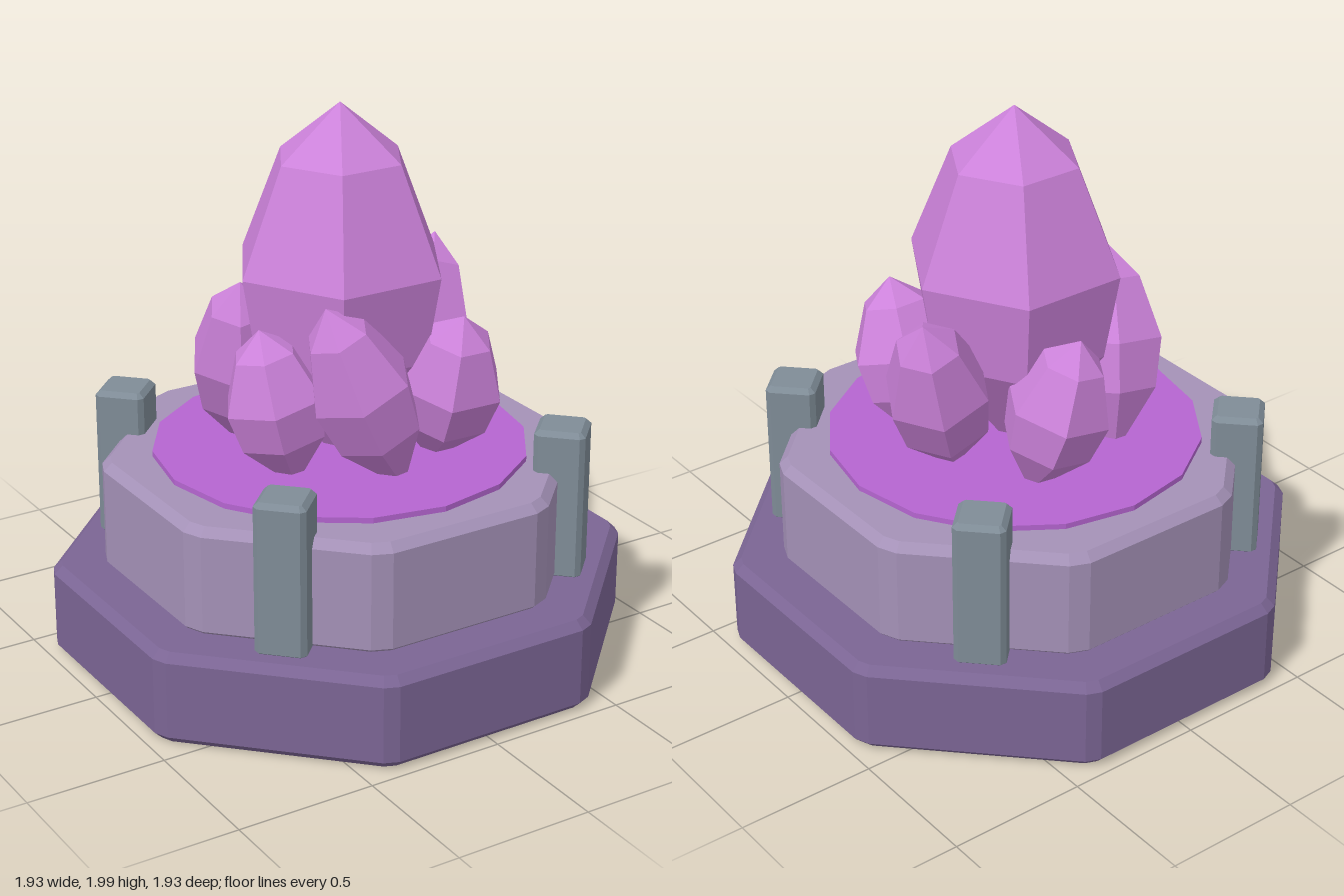
import * as THREE from 'three';

const mat = (name, color) => {
  const m = new THREE.MeshStandardMaterial({ color });
  m.name = name;
  return m;
};

// Regular polygon (half width = apothem) with each corner clipped
function clippedPolygon(sides, apothem, cut) {
  const corner = (i) => {
    const a = ((i + 0.5) / sides) * Math.PI * 2;
    return new THREE.Vector2(Math.cos(a), Math.sin(a)).multiplyScalar(apothem / Math.cos(Math.PI / sides));
  };
  const pts = [];
  for (let i = 0; i < sides; i++) {
    const c = corner(i);
    for (const n of [corner(i - 1), corner(i + 1)]) {
      pts.push(c.clone().add(n.sub(c).setLength(cut)));
    }
  }
  return new THREE.Shape(pts);
}

// Upright prism standing on y = 0 with chamfered edges
function chamferedPrism(sides, apothem, height, cut, bevel) {
  const g = new THREE.ExtrudeGeometry(clippedPolygon(sides, apothem, cut), {
    depth: height - 2 * bevel,
    bevelEnabled: true,
    bevelSegments: 1,
    bevelSize: bevel,
    bevelThickness: bevel,
    bevelOffset: -bevel,
  });
  return g.translate(0, 0, bevel).rotateX(-Math.PI / 2);
}

// Faceted six-sided crystal growing up from the origin
function crystalGeometry(radius, length) {
  const profile = [[0, 0], [0.12, 0], [0.86, 0.3], [1, 0.55], [0.6, 0.85], [0, 1]]
    .map(([r, t]) => new THREE.Vector2(r * radius, t * length));
  const g = new THREE.LatheGeometry(profile, 6, Math.PI / 2).toNonIndexed();
  g.computeVertexNormals();
  return g;
}

export function createModel() {
  const model = new THREE.Group();
  model.name = 'crystalPedestal';
  const darkStone = mat('dark purple stone', 0x7b6594);
  const paleStone = mat('pale purple stone', 0xa491b7);
  const glow = mat('violet pool', 0xb565d0);
  const crystal = mat('pink crystal', 0xcc82da);
  const metal = mat('grey metal', 0x7f8c97);

  const add = (name, geometry, material, x = 0, y = 0, z = 0) => {
    const mesh = new THREE.Mesh(geometry, material);
    mesh.name = name;
    mesh.position.set(x, y, z);
    model.add(mesh);
    return mesh;
  };

  // Stepped octagonal pedestal with a sixteen-sided inlay
  add('lowerBase', chamferedPrism(8, 0.965, 0.34, 0.03, 0.03), darkStone, 0, 0.01, 0);
  add('upperBase', chamferedPrism(8, 0.795, 0.41, 0.04, 0.03), paleStone, 0, 0.33, 0);
  const disc = new THREE.CylinderGeometry(0.67, 0.67, 0.05, 16).toNonIndexed();
  disc.computeVertexNormals();
  add('crystalBed', disc, glow, 0, 0.735, 0);

  // Four posts on the diagonal sides
  const post = chamferedPrism(4, 0.09, 0.56, 0.018, 0.018);
  for (const x of [-1, 1]) {
    for (const z of [-1, 1]) {
      add('post', post, metal, x * 0.562, 0.335, z * 0.562).rotation.y = Math.PI / 4;
    }
  }

  // Tall central crystal
  add('mainCrystal', crystalGeometry(0.39, 1.27), crystal, 0, 0.73, 0);

  // Ring of leaning crystals: root (x, z), tip (x, y, z), radius
  const shards = [
    [0.27, 0, 0.51, 1.4, -0.17, 0.19],
    [0.26, 0.2, 0.27, 1.29, 0.37, 0.2],
    [0.04, 0.33, -0.25, 1.4, 0.31, 0.19],
    [-0.27, 0.13, -0.38, 1.28, 0.09, 0.19],
    [-0.24, -0.27, -0.36, 1.4, -0.07, 0.19],
    [0.15, -0.3, 0.04, 1.3, -0.42, 0.19],
  ];
  const up = new THREE.Vector3(0, 1, 0);
  shards.forEach(([bx, bz, tx, ty, tz, r], i) => {
    const root = new THREE.Vector3(bx, 0.72, bz);
    const axis = new THREE.Vector3(tx, ty, tz).sub(root);
    const mesh = add('sideCrystal' + (i + 1), crystalGeometry(r, axis.length()), crystal, bx, 0.72, bz);
    mesh.quaternion.setFromUnitVectors(up, axis.normalize());
    mesh.rotateY(-i * Math.PI / 3);
  });

  return model;
}
